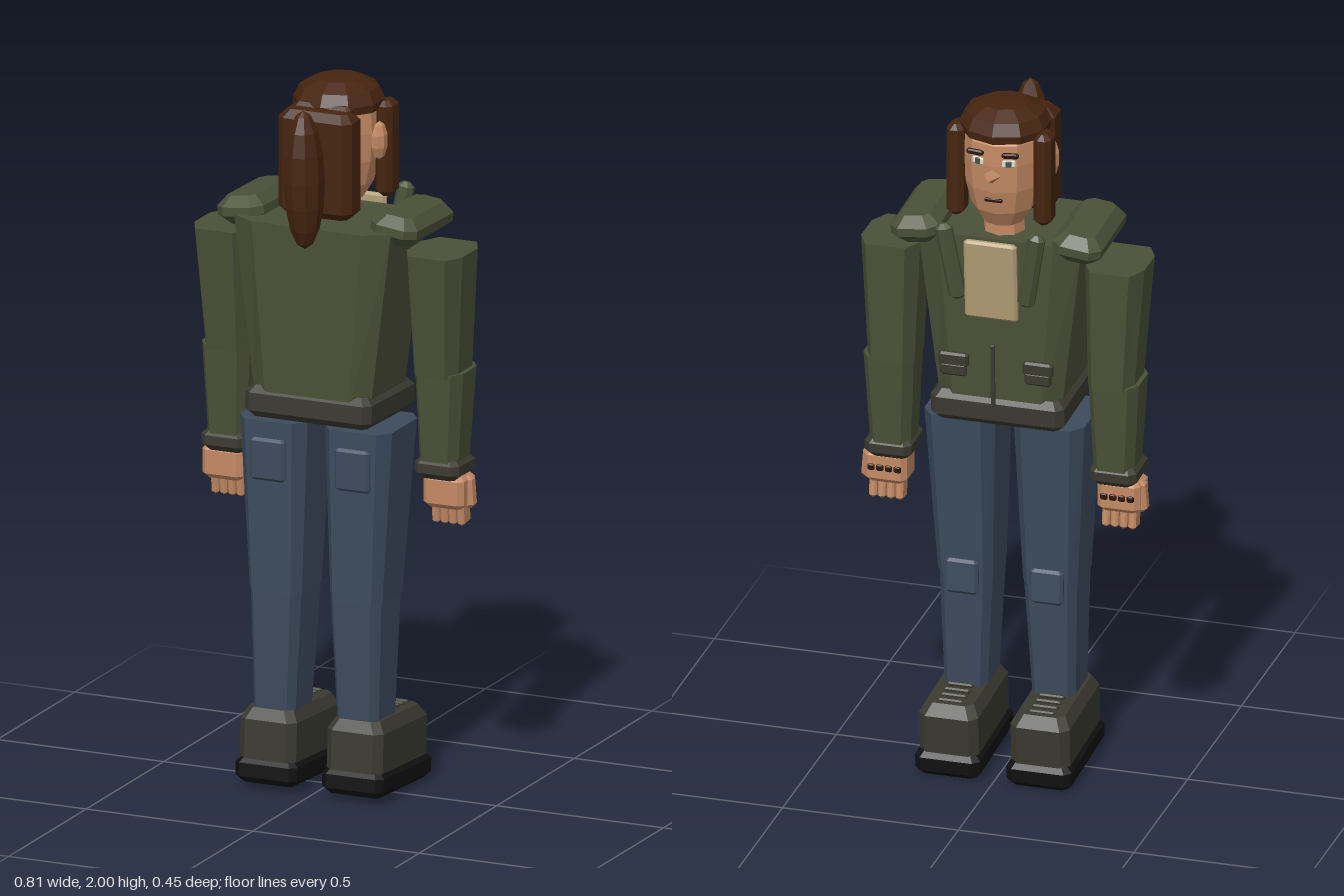
import * as THREE from 'three';

const mat = (name, color) => {
  const m = new THREE.MeshStandardMaterial({ color });
  m.name = name;
  return m;
};

// Faceted normals for low-poly shapes
function flat(geo) {
  const g = geo.index ? geo.toNonIndexed() : geo;
  g.computeVertexNormals();
  return g;
}

// Stack of chamfered rectangles: [y, centreX, centreZ, halfX, halfZ, chamferX, chamferZ]
function loft(sections) {
  const rings = sections.map(([y, cx, cz, hx, hz, a, b = a]) => [
    [-hx + a, hz], [hx - a, hz], [hx, hz - b], [hx, -hz + b],
    [hx - a, -hz], [-hx + a, -hz], [-hx, -hz + b], [-hx, hz - b],
  ].map(([x, z]) => [cx + x, y, cz + z]));
  const pos = [];
  const tri = (a, b, c) => pos.push(...a, ...b, ...c);
  for (let r = 0; r < rings.length - 1; r++) {
    for (let i = 0; i < 8; i++) {
      const j = (i + 1) % 8, lo = rings[r], hi = rings[r + 1];
      tri(lo[i], lo[j], hi[j]);
      tri(lo[i], hi[j], hi[i]);
    }
  }
  const first = rings[0], last = rings[rings.length - 1];
  for (let i = 1; i < 7; i++) {
    tri(first[0], first[i + 1], first[i]);
    tri(last[0], last[i], last[i + 1]);
  }
  const g = new THREE.BufferGeometry();
  g.setAttribute('position', new THREE.Float32BufferAttribute(pos, 3));
  g.computeVertexNormals();
  return g;
}

// Box with every edge bevelled
function bevelBox(w, h, d, b) {
  const x = w / 2, y = h / 2, z = d / 2;
  return loft([
    [-y, 0, 0, x - b, z - b, b * 0.6], [-y + b, 0, 0, x, z, b],
    [y - b, 0, 0, x, z, b], [y, 0, 0, x - b, z - b, b * 0.6],
  ]);
}

const lathe = (pts, n) =>
  flat(new THREE.LatheGeometry(pts.map(([r, y]) => new THREE.Vector2(r, y)), n));

export function createModel() {
  const model = new THREE.Group();
  model.name = 'figure';

  const jacket = mat('olive jacket', 0x4a5037);
  const trim = mat('dark trim', 0x3a3a30);
  const denim = mat('blue denim', 0x3c4b5e);
  const rubber = mat('black rubber', 0x101010);
  const hair = mat('brown hair', 0x46240f);
  const skin = mat('skin', 0xc48a64);
  const cloth = mat('tan shirt', 0xb29c74);
  const white = mat('eye white', 0xe6e2d8);
  const iris = mat('green iris', 0x3f5a48);
  const dark = mat('dark brown', 0x2c150a);

  const add = (name, geo, material, p = [0, 0, 0], r = [0, 0, 0]) => {
    const m = new THREE.Mesh(geo, material);
    m.name = name;
    m.position.set(...p);
    m.rotation.set(...r);
    model.add(m);
    return m;
  };

  // Torso
  add('torso', loft([
    [1.1, 0, 0.005, 0.172, 0.148, 0.05, 0.04],
    [1.62, 0, 0, 0.235, 0.155, 0.07, 0.04],
  ]), jacket);
  add('waistband', bevelBox(0.38, 0.09, 0.315, 0.02), trim, [0, 1.105, 0.003], [-0.03, 0, 0]);
  add('zip', bevelBox(0.012, 0.185, 0.008, 0.002), trim, [0, 1.222, -0.178], [-0.03, 0, 0]);
  add('shirt', bevelBox(0.15, 0.235, 0.022, 0.007), cloth, [0, 1.515, -0.195], [-0.07, 0, 0]);
  add('neck', flat(new THREE.CylinderGeometry(0.055, 0.06, 0.16, 8)), skin, [0, 1.64, -0.07]);

  for (const s of [-1, 1]) {
    // Jacket details
    add('shoulderPad', bevelBox(0.14, 0.08, 0.29, 0.028), jacket, [s * 0.23, 1.622, -0.033], [-0.03, 0, -s * 0.12]);
    add('lapel', bevelBox(0.048, 0.23, 0.036, 0.012), jacket, [s * 0.115, 1.56, -0.197], [-0.08, 0, -s * 0.17]);
    add('pocketFlap', bevelBox(0.085, 0.04, 0.02, 0.006), trim, [s * 0.12, 1.245, -0.15], [-0.05, 0, 0]);
    add('pocketTrim', bevelBox(0.075, 0.035, 0.016, 0.005), trim, [s * 0.12, 1.215, -0.152]);

    // Arm
    add('upperArm', loft([
      [1.2, s * 0.313, -0.056, 0.066, 0.085, 0.022, 0.04],
      [1.55, s * 0.319, -0.037, 0.084, 0.104, 0.028, 0.055],
    ]), jacket);
    add('forearm', loft([
      [0.95, s * 0.318, -0.055, 0.058, 0.066, 0.02, 0.03],
      [1.21, s * 0.32, -0.058, 0.072, 0.078, 0.022, 0.035],
    ]), jacket);
    add('cuff', bevelBox(0.134, 0.062, 0.142, 0.018), trim, [s * 0.32, 0.935, -0.053], [-0.03, 0, 0]);

    // Hand
    add('palm', bevelBox(0.122, 0.095, 0.1, 0.014), skin, [s * 0.332, 0.868, -0.055]);
    add('thumb', bevelBox(0.032, 0.09, 0.042, 0.01), skin, [s * 0.388, 0.865, -0.062], [0, 0, s * 0.08]);
    for (let i = 0; i < 4; i++) {
      const x = s * (0.294 + i * 0.025);
      add('finger', bevelBox(0.022, 0.085, 0.05, 0.006), skin, [x, 0.812, -0.066], [0.12, 0, 0]);
      add('knuckleMark', bevelBox(0.02, 0.018, 0.009, 0.003), dark, [x, 0.868, -0.106]);
    }

    // Leg
    add('thigh', loft([
      [0.56, s * 0.121, 0.027, 0.078, 0.094, 0.02, 0.03],
      [1.05, s * 0.127, 0.01, 0.101, 0.12, 0.03, 0.04],
    ]), denim);
    add('shin', loft([
      [0.22, s * 0.125, 0.036, 0.062, 0.077, 0.016, 0.024],
      [0.56, s * 0.12, 0.029, 0.076, 0.092, 0.02, 0.03],
    ]), denim);
    add('backPocket', bevelBox(0.105, 0.12, 0.022, 0.008), denim, [s * 0.127, 0.942, 0.13]);
    add('kneePatch', bevelBox(0.095, 0.1, 0.024, 0.008), denim, [s * 0.121, 0.56, -0.072], [0.05, 0, 0]);

    // Boot
    add('sole', bevelBox(0.185, 0.074, 0.342, 0.018), rubber, [s * 0.13, 0.048, -0.02], [-0.06, 0, 0]);
    add('bootUpper', loft([
      [-0.07, 0, 0, 0.084, 0.162, 0.022], [0.04, 0, 0, 0.084, 0.162, 0.022],
      [0.072, 0, 0.004, 0.066, 0.142, 0.02],
    ]), trim, [s * 0.13, 0.15, -0.022], [-0.06, 0, 0]);
    for (let i = 0; i < 4; i++) {
      add('lace', bevelBox(0.075, 0.012, 0.014, 0.004), trim, [s * 0.13, 0.225 - i * 0.003, -0.055 - i * 0.03]);
    }
  }

  // Head
  add('head', lathe([
    [0, 1.645], [0.058, 1.652], [0.088, 1.7], [0.106, 1.77],
    [0.112, 1.85], [0.108, 1.91], [0.07, 1.95], [0, 1.96],
  ], 10), skin, [0, 0, -0.075]);
  add('nose', flat(new THREE.ConeGeometry(0.026, 0.05, 4)), skin, [0, 1.822, -0.2], [-Math.PI / 2, 0, 0]);
  add('mouth', bevelBox(0.05, 0.01, 0.009, 0.002), dark, [0, 1.745, -0.173]);
  for (const s of [-1, 1]) {
    add('eye', bevelBox(0.036, 0.02, 0.008, 0.003), white, [s * 0.044, 1.86, -0.173], [0, -s * 0.31, 0]);
    add('iris', bevelBox(0.016, 0.018, 0.006, 0.002), iris, [s * 0.044, 1.86, -0.177], [0, -s * 0.31, 0]);
    add('eyebrow', bevelBox(0.048, 0.015, 0.014, 0.004), dark, [s * 0.05, 1.887, -0.18], [0, 0, s * 0.08]);
    add('ear', flat(new THREE.SphereGeometry(1, 7, 5)), skin, [s * 0.127, 1.833, -0.045])
      .scale.set(0.022, 0.055, 0.03);
    add('sideLock', bevelBox(0.05, 0.27, 0.072, 0.014), hair, [s * 0.124, 1.8, -0.102]);
  }

  // Hair
  add('hairCap', lathe([
    [0, 1.915], [0.122, 1.915], [0.126, 1.938], [0.11, 1.972], [0.065, 1.995], [0, 2],
  ], 10), hair, [0, 0, -0.06]);
  add('backHair', bevelBox(0.22, 0.3, 0.1, 0.022), hair, [0, 1.785, 0.068]);
  add('hairTie', bevelBox(0.17, 0.03, 0.04, 0.01), hair, [0, 1.93, 0.04]);
  add('ponytail', flat(new THREE.SphereGeometry(1, 9, 8)), hair, [0, 1.762, 0.169], [0.03, 0, 0])
    .scale.set(0.057, 0.198, 0.059);

  return model;
}
